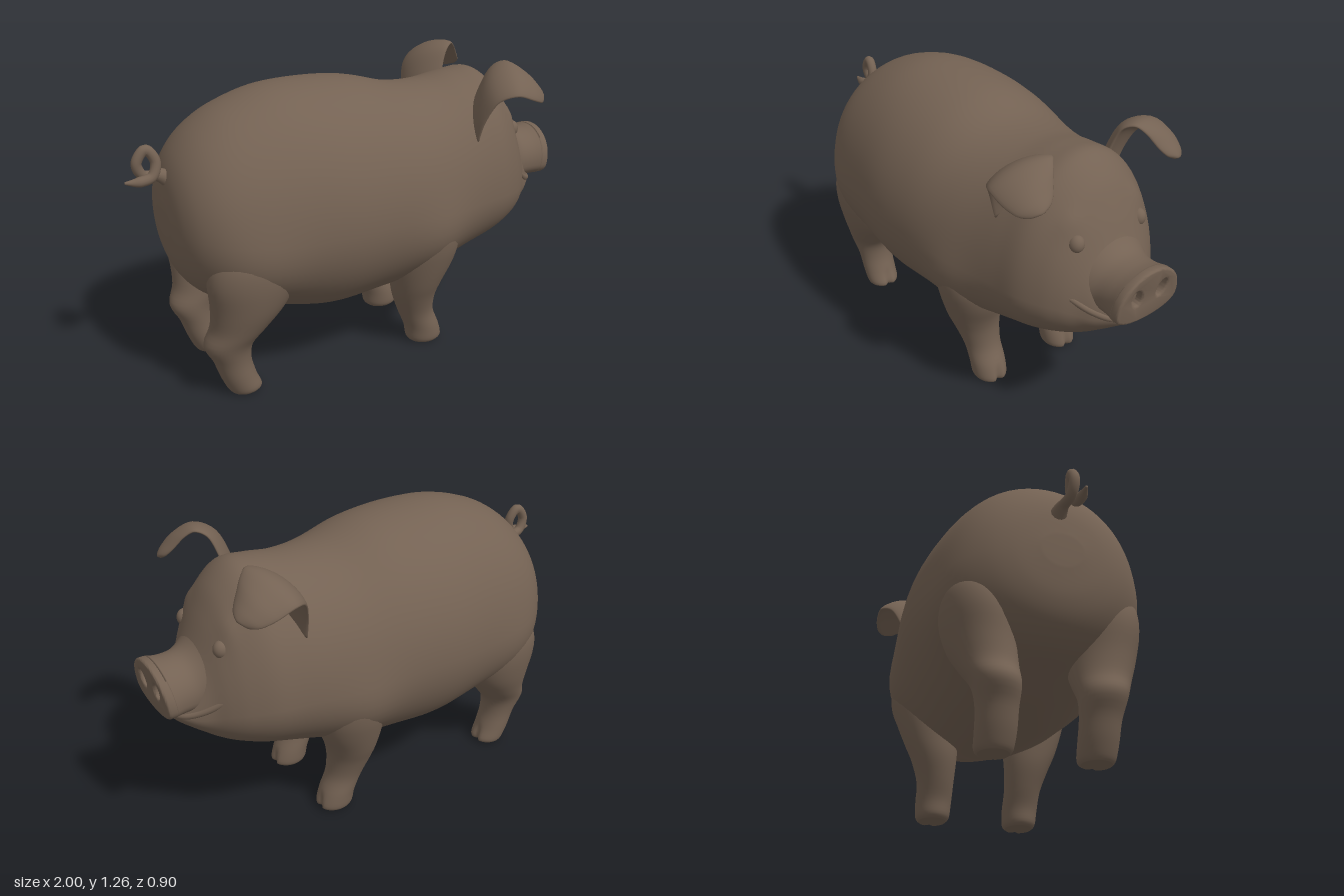
import * as THREE from 'three';
import { toCreasedNormals } from 'three/addons/utils/BufferGeometryUtils.js';

const V = (x, y, z) => new THREE.Vector3(x, y, z);

// Smoothly resample a short table of rows, column by column
function resample(rows, steps) {
  const out = [];
  const n = rows.length - 1;
  for (let i = 0; i <= n * steps; i++) {
    const k = Math.min(Math.floor(i / steps), n - 1);
    const t = i / steps - k;
    out.push(rows[0].map((_, c) => {
      const [a, b, d, e] = [k - 1, k, k + 1, k + 2].map((j) => rows[Math.max(0, Math.min(n, j))][c]);
      return b + 0.5 * t * (d - a + t * (2 * a - 5 * b + 4 * d - e + t * (3 * (b - d) + e - a)));
    }));
  }
  return out;
}

// Closed skin over rings of points, capped at both ends, always facing outward
function skin(rings) {
  const m = rings[0].length;
  const pts = rings.flat();
  const index = [];
  for (let r = 0; r < rings.length - 1; r++) {
    for (let i = 0; i < m; i++) {
      const a = r * m + i, b = r * m + (i + 1) % m;
      index.push(a, b, a + m, b, b + m, a + m);
    }
  }
  [0, rings.length - 1].forEach((r, end) => {
    const c = pts.length;
    pts.push(rings[r].reduce((s, p) => s.add(p), V(0, 0, 0)).divideScalar(m));
    for (let i = 0; i < m; i++) {
      const a = r * m + i, b = r * m + (i + 1) % m;
      if (end) index.push(a, b, c); else index.push(b, a, c);
    }
  });
  let volume = 0;
  const cross = V(0, 0, 0);
  for (let i = 0; i < index.length; i += 3) {
    volume += pts[index[i]].dot(cross.crossVectors(pts[index[i + 1]], pts[index[i + 2]]));
  }
  if (volume < 0) index.reverse();
  const g = new THREE.BufferGeometry().setFromPoints(pts);
  g.setIndex(index);
  g.computeVertexNormals();
  return g;
}

// Egg-shaped outline: bottom, top, half width, height of widest point, roundness of lower half
function outline(yb, yt, w, mid, low = 1, count = 64) {
  return Array.from({ length: count }, (_, i) => {
    const a = (i / count) * Math.PI * 2;
    const c = Math.cos(a);
    const y = c >= 0 ? mid + (yt - mid) * c : mid - (mid - yb) * Math.pow(-c, low);
    return [y, w * Math.sin(a)];
  });
}

export function createModel() {
  const group = new THREE.Group();
  const brown = new THREE.MeshStandardMaterial({ color: 0x746253 });
  brown.name = 'warm brown';
  const add = (name, geometry) => {
    const mesh = new THREE.Mesh(geometry, brown);
    mesh.name = name;
    group.add(mesh);
    return mesh;
  };

  // Body and head: x, bottom, top, half width, height of widest point
  const body = [
    [-0.845, 0.68, 0.81, 0.08, 0.75], [-0.825, 0.56, 0.93, 0.19, 0.74],
    [-0.78, 0.47, 1.025, 0.28, 0.73], [-0.70, 0.40, 1.11, 0.35, 0.72],
    [-0.58, 0.355, 1.18, 0.395, 0.71], [-0.40, 0.295, 1.232, 0.43, 0.70],
    [-0.20, 0.255, 1.24, 0.452, 0.70], [0, 0.265, 1.222, 0.44, 0.70],
    [0.2, 0.285, 1.17, 0.41, 0.69], [0.36, 0.335, 1.163, 0.38, 0.68],
    [0.5, 0.375, 1.185, 0.355, 0.68], [0.61, 0.41, 1.19, 0.335, 0.68],
    [0.70, 0.445, 1.115, 0.29, 0.67], [0.76, 0.475, 1.01, 0.243, 0.66],
    [0.81, 0.51, 0.895, 0.19, 0.64], [0.86, 0.55, 0.79, 0.148, 0.63],
    [0.91, 0.59, 0.70, 0.1, 0.64], [0.935, 0.62, 0.66, 0.05, 0.64],
  ];
  // Soft swellings on both sides (shoulder, hip, brow): x, y, z, radius, height
  const swellings = [
    [0.24, 0.56, 0.38, 0.15, 0.03], [-0.6, 0.56, 0.36, 0.17, 0.028], [0.725, 0.985, 0.16, 0.05, 0.014],
  ];
  const swell = (x, y, z) => {
    const out = V(0, y - 0.7, z).normalize();
    const rise = swellings.reduce((s, [cx, cy, cz, r, h]) =>
      s + h * Math.exp(-((x - cx) ** 2 + (y - cy) ** 2 + (Math.abs(z) - cz) ** 2) / (r * r)), 0);
    return V(x, y, z).addScaledVector(out, rise);
  };
  add('bodyAndHead', skin(resample(body, 6).map(([x, ...o]) => outline(...o).map(([y, z]) => swell(x, y, z)))));

  // Snout, leaning forward at the top and flaring back into the face
  const lean = (x, y) => x + 0.12 * (y - 0.755);
  const snout = [
    [0.69, 0.57, 1.03, 0.235], [0.75, 0.595, 0.95, 0.2], [0.8, 0.625, 0.895, 0.165], [0.85, 0.638, 0.867, 0.143],
    [0.91, 0.64, 0.862, 0.143], [0.955, 0.642, 0.87, 0.155],
  ];
  add('snout', skin(resample(snout, 4).map(([x, b, t, w]) =>
    outline(b, t, w, 0.725, 0.7).map(([y, z]) => V(lean(x, y), y, z)))));

  // Nose disc with two sunken nostrils
  const disc = new THREE.Shape(outline(0.642, 0.87, 0.155, 0.725, 0.7).map(([y, z]) => new THREE.Vector2(z, y)));
  for (const s of [1, -1]) {
    const hole = new THREE.Path();
    hole.absellipse(s * 0.063, 0.766, 0.025, 0.038, 0, Math.PI * 2, false, s * -0.3);
    disc.holes.push(hole);
  }
  const nose = new THREE.ExtrudeGeometry(disc, {
    depth: 0.022, bevelSize: 0.01, bevelOffset: -0.01, bevelThickness: 0.01, bevelSegments: 3, curveSegments: 20,
  });
  nose.rotateY(Math.PI / 2).translate(0.955, 0, 0);
  const np = nose.attributes.position;
  for (let i = 0; i < np.count; i++) np.setX(i, lean(np.getX(i), np.getY(i)));
  add('noseDisc', toCreasedNormals(nose, 0.7));

  // Smiling lower lip
  const lip = [[0.765, 0.72, 0.21], [0.845, 0.665, 0.15], [0.905, 0.64, 0.09], [0.925, 0.632, 0]];
  const smile = [...lip, ...lip.slice(0, 3).reverse().map(([x, y, z]) => [x, y, -z])];
  add('lowerLip', new THREE.TubeGeometry(
    new THREE.CatmullRomCurve3(smile.map((p) => V(...p))), 40, 0.014, 10));

  // Legs: height, back x, front x, inner z, outer z
  const frontLeg = [
    [0, 0.215, 0.345, 0.14, 0.255], [0.02, 0.197, 0.362, 0.125, 0.27], [0.08, 0.185, 0.345, 0.12, 0.275],
    [0.16, 0.15, 0.312, 0.12, 0.28], [0.25, 0.115, 0.308, 0.115, 0.31], [0.33, 0.098, 0.325, 0.11, 0.345],
    [0.43, 0.085, 0.365, 0.11, 0.38], [0.52, 0.09, 0.38, 0.12, 0.403], [0.6, 0.12, 0.36, 0.14, 0.405],
    [0.68, 0.18, 0.3, 0.2, 0.36],
  ];
  const hindLeg = [
    [0, -0.67, -0.555, 0.14, 0.255], [0.02, -0.685, -0.535, 0.125, 0.27], [0.08, -0.712, -0.56, 0.12, 0.275],
    [0.16, -0.74, -0.58, 0.12, 0.28], [0.24, -0.778, -0.57, 0.115, 0.3], [0.32, -0.752, -0.51, 0.11, 0.335],
    [0.42, -0.752, -0.43, 0.11, 0.372], [0.54, -0.765, -0.385, 0.12, 0.396], [0.64, -0.74, -0.41, 0.14, 0.39],
    [0.74, -0.66, -0.5, 0.2, 0.34],
  ];
  const leg = (rows, side) => skin(resample(rows, 4).map(([y, x0, x1, z0, z1]) =>
    Array.from({ length: 40 }, (_, i) => {
      const a = (i / 40) * Math.PI * 2 - Math.PI;
      // cleft between the two toes
      const cleft = 1 - 0.32 * Math.exp(-((a / 0.2) ** 2)) * Math.max(0, 1 - y / 0.09);
      return V((x0 + x1) / 2 + ((x1 - x0) / 2) * Math.cos(a) * cleft, Math.max(0, y),
        side * ((z0 + z1) / 2 + ((z1 - z0) / 2) * Math.sin(a)));
    })));

  // Floppy ears: centre of each section, then its half-width vector
  const earRows = [
    [0.49, 1.0, 0.215, -0.05, -0.05, 0.085], [0.505, 1.1, 0.24, -0.055, -0.055, 0.09],
    [0.54, 1.19, 0.275, -0.055, -0.05, 0.103], [0.605, 1.222, 0.318, -0.045, -0.047, 0.112],
    [0.675, 1.192, 0.337, -0.025, -0.045, 0.098], [0.725, 1.15, 0.34, -0.014, -0.03, 0.074],
    [0.75, 1.126, 0.335, -0.008, -0.018, 0.045], [0.758, 1.117, 0.332, -0.002, -0.004, 0.012],
  ];
  const ear = (side) => {
    const rows = resample(earRows, 5);
    return skin(rows.map((r, k) => {
      const c = V(r[0], r[1], r[2]), w = V(r[3], r[4], r[5]);
      const a = rows[Math.max(0, k - 1)], b = rows[Math.min(rows.length - 1, k + 1)];
      const n = w.clone().cross(V(b[0] - a[0], b[1] - a[1], b[2] - a[2])).normalize();
      const size = Math.min(1, w.length() / 0.1);
      return Array.from({ length: 28 }, (_, i) => {
        const t = (i / 28) * Math.PI * 2;
        const u = Math.cos(t);
        const p = c.clone().addScaledVector(w, u);
        p.addScaledVector(n, 0.018 * Math.sqrt(size) * Math.sin(t) - 0.02 * u * u * size);
        p.z *= side;
        return p;
      });
    }));
  };

  for (const [label, s] of [['left', -1], ['right', 1]]) {
    add(label + 'FrontLeg', leg(frontLeg, s));
    add(label + 'HindLeg', leg(hindLeg, s));
    add(label + 'Ear', ear(s));
    const eye = add(label + 'Eye', new THREE.SphereGeometry(0.034, 24, 16));
    eye.position.set(0.747, 0.92, s * 0.156);
    eye.scale.set(1, 1.1, 0.95);
  }

  // Curly tail, tapering to its tip
  const curl = new THREE.CatmullRomCurve3([
    [-0.78, 0.89, -0.01], [-0.85, 0.932, 0], [-0.915, 0.945, 0.012], [-0.938, 1.0, 0.018], [-0.9, 1.05, 0.022],
    [-0.866, 1.0, 0.03], [-0.885, 0.945, 0.042], [-0.935, 0.932, 0.045], [-0.995, 0.935, 0.04],
  ].map((p) => V(...p)));
  const tail = [];
  const frames = curl.computeFrenetFrames(70);
  for (let k = 0; k <= 70; k++) {
    const t = k / 70;
    const radius = (0.021 + 0.025 * Math.max(0, 1 - t * 5)) * Math.min(1, 0.25 + (1 - t) * 7);
    tail.push(Array.from({ length: 14 }, (_, i) => {
      const a = (i / 14) * Math.PI * 2;
      return curl.getPointAt(t).addScaledVector(frames.normals[k], radius * Math.cos(a))
        .addScaledVector(frames.binormals[k], radius * Math.sin(a));
    }));
  }
  add('curlyTail', skin(tail));

  return group;
}
